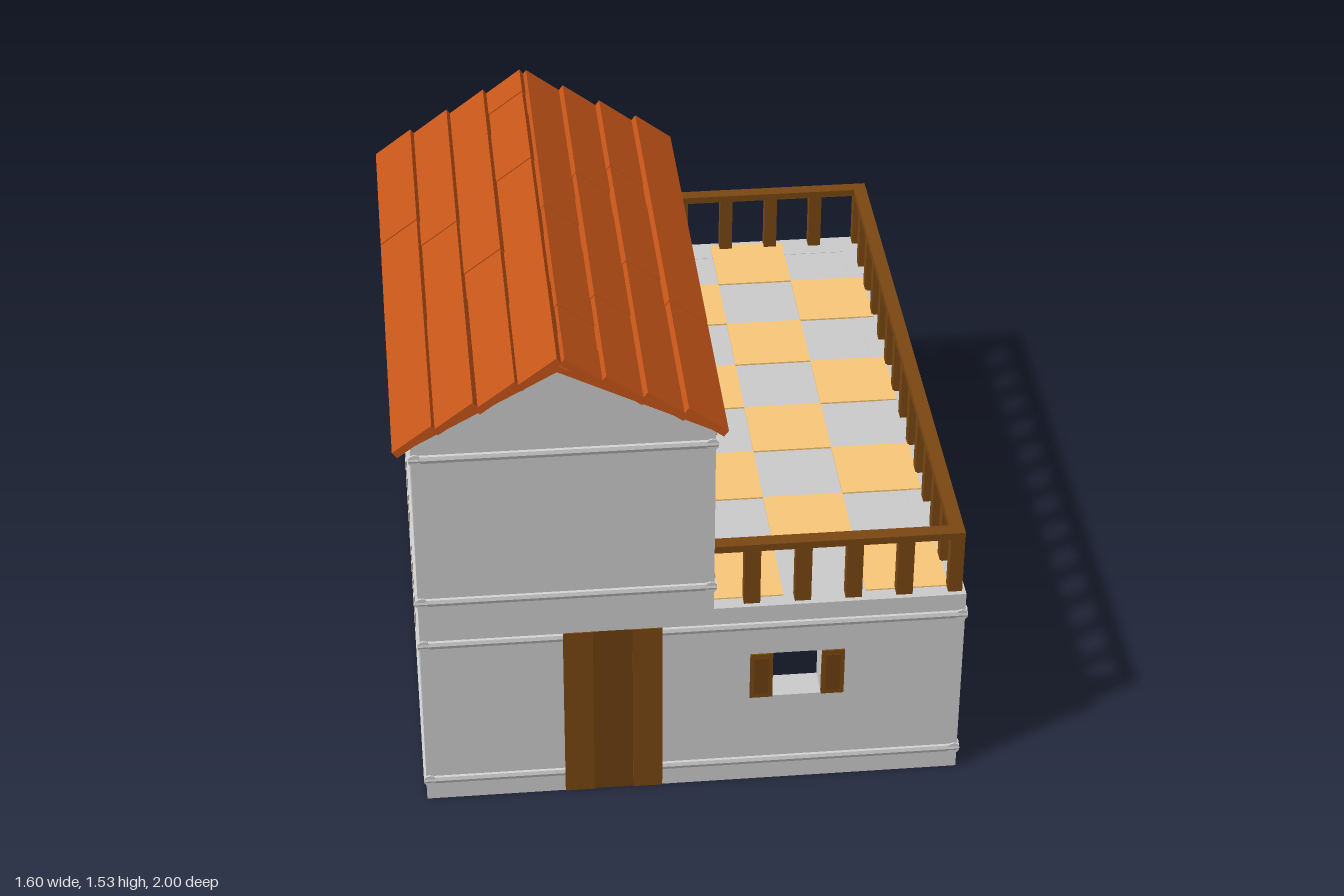
import * as THREE from 'three';

const mat = (color) => new THREE.MeshStandardMaterial({ color, flatShading: true });

export function createModel() {
  const house = new THREE.Group();
  house.name = 'house';
  const plaster = mat(0xcccccc), wood = mat(0x7a4712), darkWood = mat(0x6c3e0f);
  const clay = mat(0xc55518), sand = mat(0xf9c778);

  const add = (name, geometry, material, parent = house) => {
    const mesh = new THREE.Mesh(geometry, material);
    mesh.name = name;
    parent.add(mesh);
    return mesh;
  };
  const group = (name) => {
    const g = new THREE.Group();
    g.name = name;
    house.add(g);
    return g;
  };
  // Box given by its limits on each axis
  const box = (name, x0, x1, y0, y1, z0, z1, material, parent) => {
    const m = add(name, new THREE.BoxGeometry(x1 - x0, y1 - y0, z1 - z0), material, parent);
    m.position.set((x0 + x1) / 2, (y0 + y1) / 2, (z0 + z1) / 2);
    return m;
  };
  const shapeOf = (pts) => new THREE.Shape(pts.map(([a, b]) => new THREE.Vector2(a, b)));
  const extrude = (shape, depth) => new THREE.ExtrudeGeometry(shape, { depth, bevelEnabled: false });

  const L = -0.755, R = 0.785, F = 0.945, B = -0.99;   // outer faces of the ground floor
  const TR = 0.07, TB = -0.525, T = 0.09;              // tower right and back, wall thickness
  const DECK = 0.63, EAVE = 1.27, RIDGE = [-0.36, 1.49];
  const HALF = 0.07, WIN_H = 0.155, SHUT = 0.065;

  // Walls, with window openings listed as [centre, sill]
  const wall = (name, pts, openings, alongZ, pos) => {
    const shape = shapeOf(pts);
    for (const [c, s] of openings) {
      shape.holes.push(shapeOf([[c - HALF, s], [c - HALF, s + WIN_H], [c + HALF, s + WIN_H], [c + HALF, s]]));
    }
    const geo = extrude(shape, T);
    if (alongZ) geo.rotateY(-Math.PI / 2);
    const m = add(name, geo, plaster);
    m.position[alongZ ? 'x' : 'z'] = pos;
  };
  const sideWindows = [[-0.057, 0.305], [0.427, 0.305], [-0.057, 0.96], [0.427, 0.96]];
  wall('frontWall', [[L, 0], [-0.355, 0], [-0.355, 0.575], [-0.075, 0.575], [-0.075, 0], [R, 0],
    [R, DECK], [TR, DECK], [TR, EAVE], RIDGE, [L, EAVE]], [[0.31, 0.305]], false, F - T);
  wall('backWall', [[L, 0], [R, 0], [R, DECK], [L, DECK]], [[-0.32, 0.305]], false, B);
  wall('towerBackWall', [[L, DECK - 0.03], [TR, DECK - 0.03], [TR, EAVE], RIDGE, [L, EAVE]], [], false, TB);
  wall('rightWall', [[B + T, 0], [F - T, 0], [F - T, DECK], [B + T, DECK]], [], true, R);
  wall('leftWall', [[B + T, 0], [F - T, 0], [F - T, EAVE], [TB + T, EAVE], [TB + T, DECK], [B + T, DECK]],
    sideWindows, true, L + T);
  wall('towerRightWall', [[TB + T, DECK], [-0.165, DECK], [-0.165, 1.21], [0.11, 1.21], [0.11, DECK],
    [F - T, DECK], [F - T, EAVE], [TB + T, EAVE]], [], true, TR);

  // Solid fillings in the inner corners of the ground floor
  const corners = [
    [[L + T, B + T], [-0.39, B + T], [L + T, -0.13]],
    [[L + T, F - T], [L + T, 0.56], [-0.355, F - T]],
    [[R - T, F - T], [0.5, F - T], [R - T, 0.66]],
  ];
  for (const pts of corners) {
    add('cornerFilling', extrude(shapeOf(pts), 0.6).rotateX(Math.PI / 2), plaster).position.y = 0.6;
  }

  // Terrace floor with a checker of sand tiles
  box('terraceFloor', L + T, R - T, 0.6, 0.629, B + T, F - T, plaster);
  const tiles = group('floorTiles'), S = 0.234;
  for (let row = 0; row < 8; row++) {
    for (let col = row % 2; col < 6; col += 2) {
      const x = -0.665 + col * S, z = -0.969 + row * S;
      box('floorTile', x, x + S, 0.597, 0.634, z, z + S, sand, tiles);
    }
  }

  // Round mouldings along the walls, interrupted at the doors
  const bands = group('mouldings'), r = 0.018, inset = 0.01, over = 0.006;
  const band = (alongX, from, to, y, at) => {
    const geo = new THREE.CylinderGeometry(r, r, to - from, 10);
    if (alongX) geo.rotateZ(Math.PI / 2); else geo.rotateX(Math.PI / 2);
    const mid = (from + to) / 2;
    add('moulding', geo, plaster, bands).position.set(alongX ? mid : at, y, alongX ? at : mid);
  };
  for (const y of [0.07, 0.56]) {
    band(true, L - over, -0.355, y, F - inset);
    band(true, -0.075, R + over, y, F - inset);
    band(true, L - over, R + over, y, B + inset);
    band(false, B - over, F + over, y, L + inset);
    band(false, B - over, F + over, y, R - inset);
  }
  for (const y of [0.71, 1.195]) {
    band(true, L - over, TR + over, y, F - inset);
    band(true, L - over, TR + over, y, TB + inset);
    band(false, TB - over, F + over, y, L + inset);
    band(false, TB - over, -0.165, y, TR - inset);
    band(false, 0.11, F + over, y, TR - inset);
  }

  // Doors of three planks, the middle one set slightly back
  const door = (name, width, height) => {
    const g = group(name), a = width / 2, b = width * 0.2;
    box('plank', -a, -b, 0, height, -0.05, 0.003, wood, g);
    box('middlePlank', -b, b, 0, height, -0.05, 0, darkWood, g);
    box('plank', b, a, 0, height, -0.05, 0.003, wood, g);
    return g;
  };
  door('frontDoor', 0.28, 0.575).position.set(-0.215, 0, F);
  const terraceDoor = door('terraceDoor', 0.275, 0.58);
  terraceDoor.position.set(TR, DECK, -0.0275);
  terraceDoor.rotation.y = Math.PI / 2;

  // Window shutters, open beside the opening or closed over the wall
  const shutters = (x, y, z, turn, closed = false) => {
    const g = group('shutters');
    for (const s of [-1, 1]) {
      const c = s * (closed ? HALF / 2 : HALF + SHUT / 2), h = (closed ? HALF : SHUT) / 2;
      box('shutter', c - h, c + h, 0, WIN_H, -0.01, 0.005, wood, g);
      box('shutterPanel', c - h + 0.012, c + h - 0.012, 0.014, WIN_H - 0.014, 0, 0.007, darkWood, g);
    }
    g.position.set(x, y, z);
    g.rotation.y = turn;
  };
  shutters(0.31, 0.305, F, 0);
  shutters(-0.32, 0.305, B, Math.PI);
  shutters(0.193, 0.305, B, Math.PI, true);
  for (const [z, y] of sideWindows) shutters(L, y, z, -Math.PI / 2);

  // Terrace railing
  const railing = group('railing'), w = 0.02, top = 0.835, low = 0.813;
  const post = (x, z, hx, hz) => box('post', x - hx, x + hx, DECK - 0.005, low, z - hz, z + hz, wood, railing);
  const RX = 0.755, LX = -0.7, FZ = 0.912, BZ = -0.965;
  box('frontRail', TR - 0.02, RX - w, low, top, FZ - w, FZ + w, wood, railing);
  box('rightRail', RX - w, RX + w, low, top, BZ - w, FZ + w, wood, railing);
  box('backRail', LX - w, RX - w, low, top, BZ - w, BZ + w, wood, railing);
  box('leftRail', LX - w, LX + w, low, top, BZ + w, TB + 0.02, wood, railing);
  for (let i = 0; i < 14; i++) post(RX, FZ + (BZ - FZ) * i / 13, 0.02, 0.018);
  for (let i = 1; i < 5; i++) post(RX - 0.144 * i, FZ, 0.023, 0.018);
  for (let i = 1; i <= 10; i++) post(RX + (LX - RX) * i / 10, BZ, 0.02, 0.018);
  for (let i = 1; i < 3; i++) post(LX, BZ + 0.144 * i, 0.02, 0.018);

  // Roof: thin boarding and four rows of tiles on each slope, split at the listed z
  const roof = group('roof'), Z0 = -0.58, Z1 = 1.0;
  const prism = (name, pts, z0, z1) => {
    add(name, extrude(shapeOf(pts), z1 - z0), clay, roof).position.z = z0;
  };
  prism('roofBoarding', [[-0.775, 1.258], [-0.36, 1.488], [0.085, 1.26], [0.085, 1.275], [-0.36, 1.507],
    [-0.775, 1.273]], Z0 + 0.005, Z1 - 0.005);
  const slopes = [
    { side: -1, peak: [-0.36, 1.535], step: [-0.112, -0.063],
      rows: [[-0.45, -0.33, -0.055, 0.6], [0.335], [0.07, 0.47], [-0.055]] },
    { side: 1, peak: [-0.34, 1.532], step: [0.11, -0.058],
      rows: [[0.21, 0.345, 0.73, 0.86], [-0.06, 0.07, 0.6], [-0.19, -0.06, 0.34], [0.47]] },
  ];
  const run = 0.108, drop = 0.081, nx = 0.0132, ny = 0.0176;
  for (const { side, peak, step, rows } of slopes) {
    rows.forEach((cuts, row) => {
      const edges = [Z0, ...cuts, Z1];
      for (let i = 0; i + 1 < edges.length; i++) {
        const x = peak[0] + step[0] * row;
        const y = peak[1] + step[1] * row - (i % 2) * 0.004;
        const x2 = x + side * run, y2 = y - drop;
        prism('roofTile', [[x, y], [x2, y2], [x2 - side * nx, y2 - ny], [x - side * nx, y - ny]],
          edges[i], edges[i + 1]);
      }
    });
  }
  return house;
}
